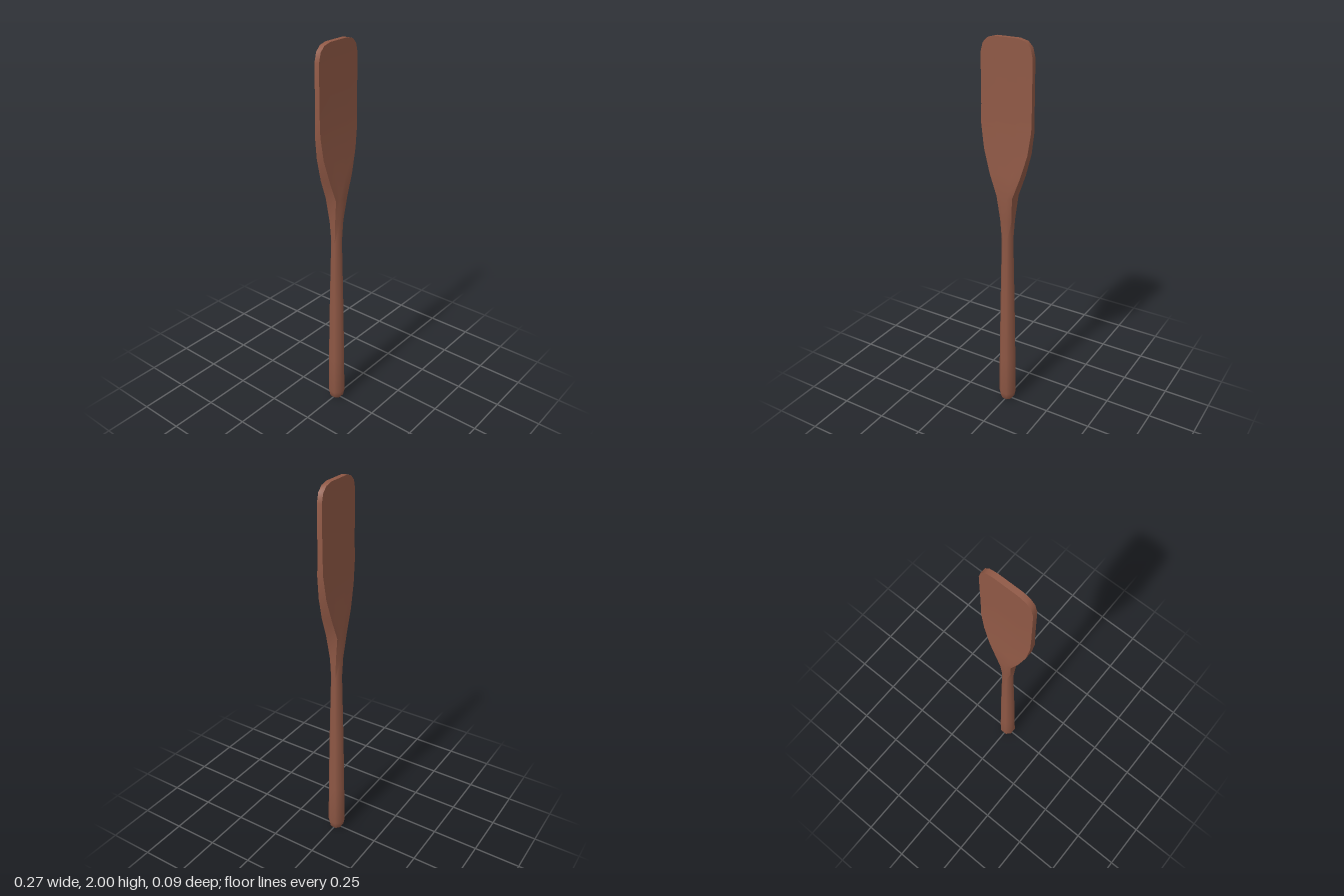
import * as THREE from 'three';
import { toCreasedNormals } from 'three/addons/utils/BufferGeometryUtils.js';

// Sections from butt to tip: [y, half width, half depth, squareness 0..1]
const SECTIONS = [
  [0, 0.028, 0.028, 0],
  [0.012, 0.036, 0.036, 0],
  [0.045, 0.0425, 0.0425, 0],
  [0.28, 0.04, 0.04, 0],
  [0.6, 0.035, 0.035, 0],
  [0.99, 0.028, 0.026, 0],
  [1.1, 0.033, 0.031, 0.25],
  [1.23, 0.044, 0.037, 0.8],
  [1.34, 0.085, 0.029, 1],
  [1.46, 0.12, 0.0215, 1],
  [1.58, 0.137, 0.0165, 1],
  [1.68, 0.137, 0.0135, 1],
  [1.92, 0.137, 0.013, 1],
  [1.965, 0.125, 0.013, 1],
  [1.99, 0.1, 0.013, 1],
  [2.0, 0.06, 0.013, 1],
];

// Eight-point ring: a regular octagon that squares off into a flat blade
function ring([y, hx, hz, square]) {
  const c = Math.tan(Math.PI / 8);
  const k = THREE.MathUtils.lerp(c, 1, square);
  return [[1, -k], [1, k], [c, 1], [-c, 1], [-1, k], [-1, -k], [-c, -1], [c, -1]]
    .flatMap(([x, z]) => [x * hx, y, z * hz]);
}

function loft(sections) {
  const n = 8;
  const positions = sections.flatMap(ring);
  const index = [];
  for (let i = 0; i < sections.length - 1; i++) {
    for (let j = 0; j < n; j++) {
      const a = i * n + j, b = i * n + (j + 1) % n;
      index.push(a, a + n, b, b, a + n, b + n);
    }
  }
  // End caps
  const top = (sections.length - 1) * n;
  for (let j = 1; j < n - 1; j++) {
    index.push(0, j, j + 1);
    index.push(top, top + j + 1, top + j);
  }
  const geometry = new THREE.BufferGeometry();
  geometry.setAttribute('position', new THREE.Float32BufferAttribute(positions, 3));
  geometry.setIndex(index);
  return toCreasedNormals(geometry, THREE.MathUtils.degToRad(50));
}

export function createModel() {
  const group = new THREE.Group();
  group.name = 'paddle';
  const wood = new THREE.MeshStandardMaterial({ color: 0x8f5845 });

  // Handle and blade are carved from one continuous piece
  const body = new THREE.Mesh(loft(SECTIONS), wood);
  body.name = 'handleAndBlade';
  group.add(body);
  return group;
}
